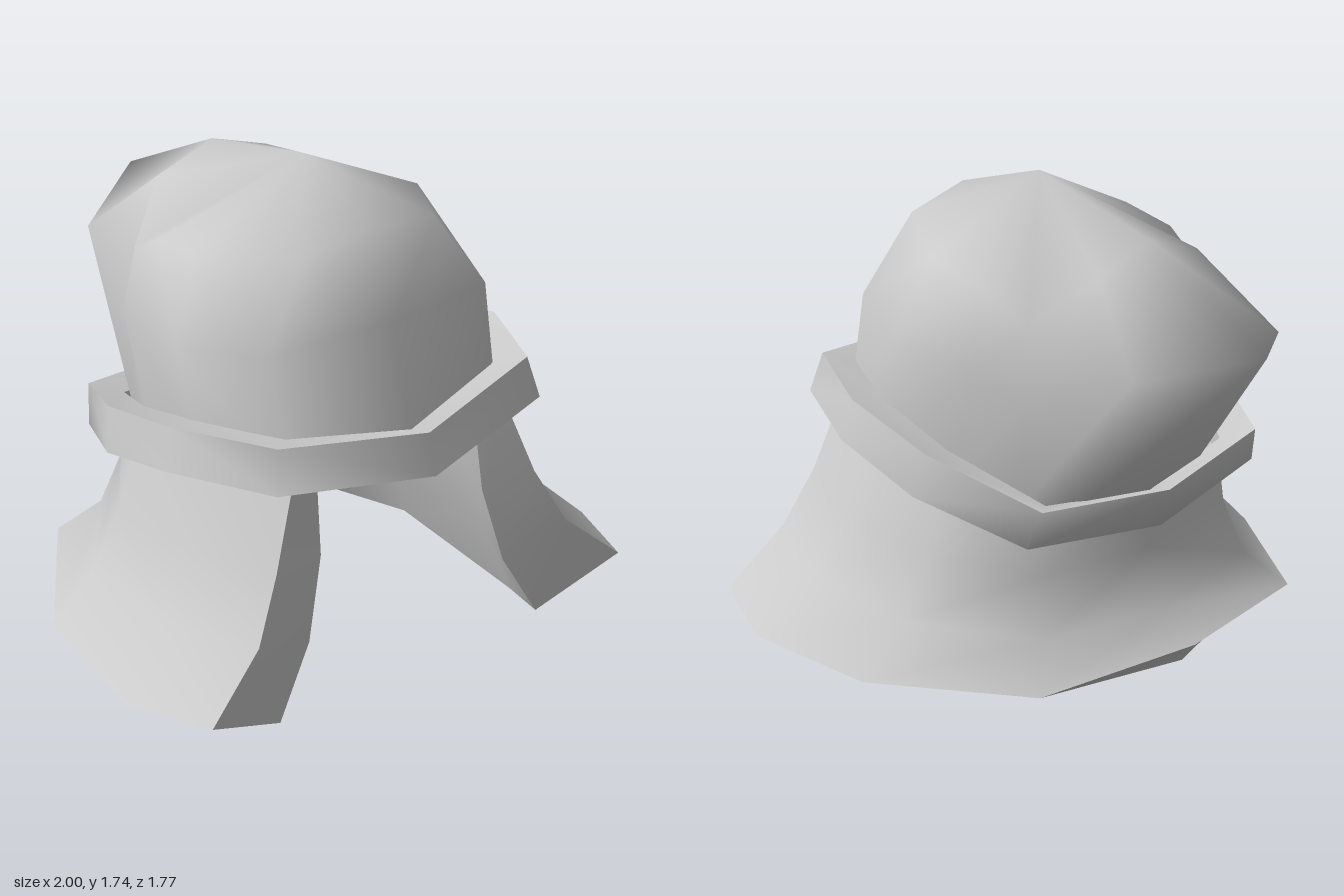
import * as THREE from 'three';
import { toCreasedNormals } from 'three/addons/utils/BufferGeometryUtils.js';

const material = new THREE.MeshStandardMaterial({ color: 0xcccccc });

// Completes a half ring (front, over the left side, to back) by mirroring it in x.
function mirrorRing(half) {
  const mirrored = half.filter((p) => p[0] > 0).reverse().map(([x, y, z]) => [-x, y, z]);
  return [...half, ...mirrored];
}

// Skins a stack of half rings; `tube` joins the last ring to the first.
// Rings that do not start on x = 0 stay open at the front and get end caps.
function loft(name, halves, { tube = false, crease }) {
  const rings = halves.map(mirrorRing);
  const n = rings[0].length, m = rings.length;
  const closed = halves[0][0][0] === 0;
  const positions = [];
  const triangle = (a, b, c) => {
    const [p, q, r] = [a, b, c].map((v) => new THREE.Vector3(...v));
    if (q.clone().sub(p).cross(r.clone().sub(p)).length() > 1e-5) positions.push(...a, ...b, ...c);
  };
  const quad = (a, b, c, d) => { triangle(a, b, c); triangle(a, c, d); };

  for (let i = 0; i < (tube ? m : m - 1); i++) {
    const low = rings[i], high = rings[(i + 1) % m];
    for (let j = 0; j < (closed ? n : n - 1); j++) {
      const k = (j + 1) % n;
      // the diagonals are mirrored too
      if (j < (closed ? n : n - 1) / 2) quad(low[j], low[k], high[k], high[j]);
      else quad(low[k], high[k], high[j], low[j]);
    }
  }
  if (!closed) {
    for (let k = 0; k < m / 2 - 1; k++) {
      const strip = (j) => [rings[m - 1 - k][j], rings[k][j], rings[k + 1][j], rings[m - 2 - k][j]];
      quad(...strip(0));
      quad(...strip(n - 1).reverse());
    }
  }
  const geometry = new THREE.BufferGeometry();
  geometry.setAttribute('position', new THREE.Float32BufferAttribute(positions, 3));
  const mesh = new THREE.Mesh(toCreasedNormals(geometry, crease), material);
  mesh.name = name;
  return mesh;
}

// Crown ring collapsed to one point, to close the stack.
const point = (p) => [p, ...Array.from({ length: 5 }, () => [1e-6, p[1], p[2]]), p];

export function createModel() {
  const group = new THREE.Group();
  group.name = 'hood';

  // Crown, drawn out to a point at the back
  const brow = [[0, 0.86, 0.785], [0.43, 0.9, 0.685], [0.56, 0.87, 0.36], [0.54, 0.79, 0.03], [0.45, 0.73, -0.2], [0.32, 0.67, -0.27], [0, 0.63, -0.3]];
  group.add(loft('crown', [
    brow,
    [[0, 1.32, 0.655], [0.45, 1.3, 0.58], [0.59, 1.24, 0.27], [0.55, 1.22, -0.1], [0.445, 1.1, -0.23], [0.35, 1.27, -0.63], [0, 1.335, -0.885]],
    [[0, 1.62, 0.555], [0.27, 1.57, 0.52], [0.46, 1.52, 0.2], [0.46, 1.48, -0.02], [0.42, 1.37, -0.22], [0.23, 1.53, -0.36], [0, 1.61, -0.36]],
    point([0, 1.74, 0.165]),
  ], { crease: Math.PI }));

  // Underside closing the crown
  group.add(loft('crownUnderside', [point([0, 0.755, 0.25]), brow], { crease: 0.6 }));

  // Tilted band around the brow
  const bandLow = [[0, 0.855, 0.89], [0.55, 0.915, 0.77], [0.72, 0.885, 0.39], [0.715, 0.785, 0.03], [0.55, 0.665, -0.35], [0, 0.605, -0.43]];
  const bandHigh = [[0, 1, 0.85], [0.52, 1.06, 0.73], [0.685, 1.03, 0.37], [0.685, 0.94, 0], [0.52, 0.8, -0.39], [0, 0.75, -0.47]];
  const inset = (ring) => ring.map(([x, y, z]) => [x * 0.82, y - 0.03, 0.2 + (z - 0.2) * 0.86]);
  group.add(loft('band', [bandLow, bandHigh, inset(bandHigh), inset(bandLow)], { tube: true, crease: 1.1 }));

  // Thick flared neck guard, open at the front
  group.add(loft('neckGuard', [
    // outside, hem to top
    [[0.88, 0.215, 0.87], [1, 0.18, 0.55], [0.955, 0.18, 0.03], [0.62, 0.19, -0.48], [0, 0.21, -0.6]],
    [[0.66, 0.41, 0.82], [0.8, 0.375, 0.48], [0.78, 0.35, 0.02], [0.5, 0.32, -0.37], [0, 0.3, -0.45]],
    [[0.55, 0.62, 0.765], [0.69, 0.6, 0.43], [0.67, 0.55, 0.02], [0.45, 0.52, -0.31], [0, 0.5, -0.37]],
    [[0.44, 0.92, 0.71], [0.58, 0.89, 0.37], [0.58, 0.8, 0.02], [0.44, 0.7, -0.29], [0, 0.66, -0.36]],
    // inside, top to hem
    [[0.33, 0.92, 0.68], [0.46, 0.87, 0.37], [0.46, 0.8, 0.02], [0.33, 0.72, -0.2], [0, 0.67, -0.25]],
    [[0.345, 0.6, 0.73], [0.5, 0.55, 0.45], [0.49, 0.52, 0.02], [0.34, 0.5, -0.22], [0, 0.48, -0.27]],
    [[0.42, 0.31, 0.77], [0.56, 0.28, 0.5], [0.53, 0.28, 0.01], [0.36, 0.28, -0.29], [0, 0.3, -0.36]],
    [[0.56, 0.06, 0.8], [0.64, 0, 0.57], [0.61, 0.055, 0], [0.39, 0.095, -0.38], [0, 0.13, -0.54]],
  ], { tube: true, crease: 1.1 }));

  return group;
}
